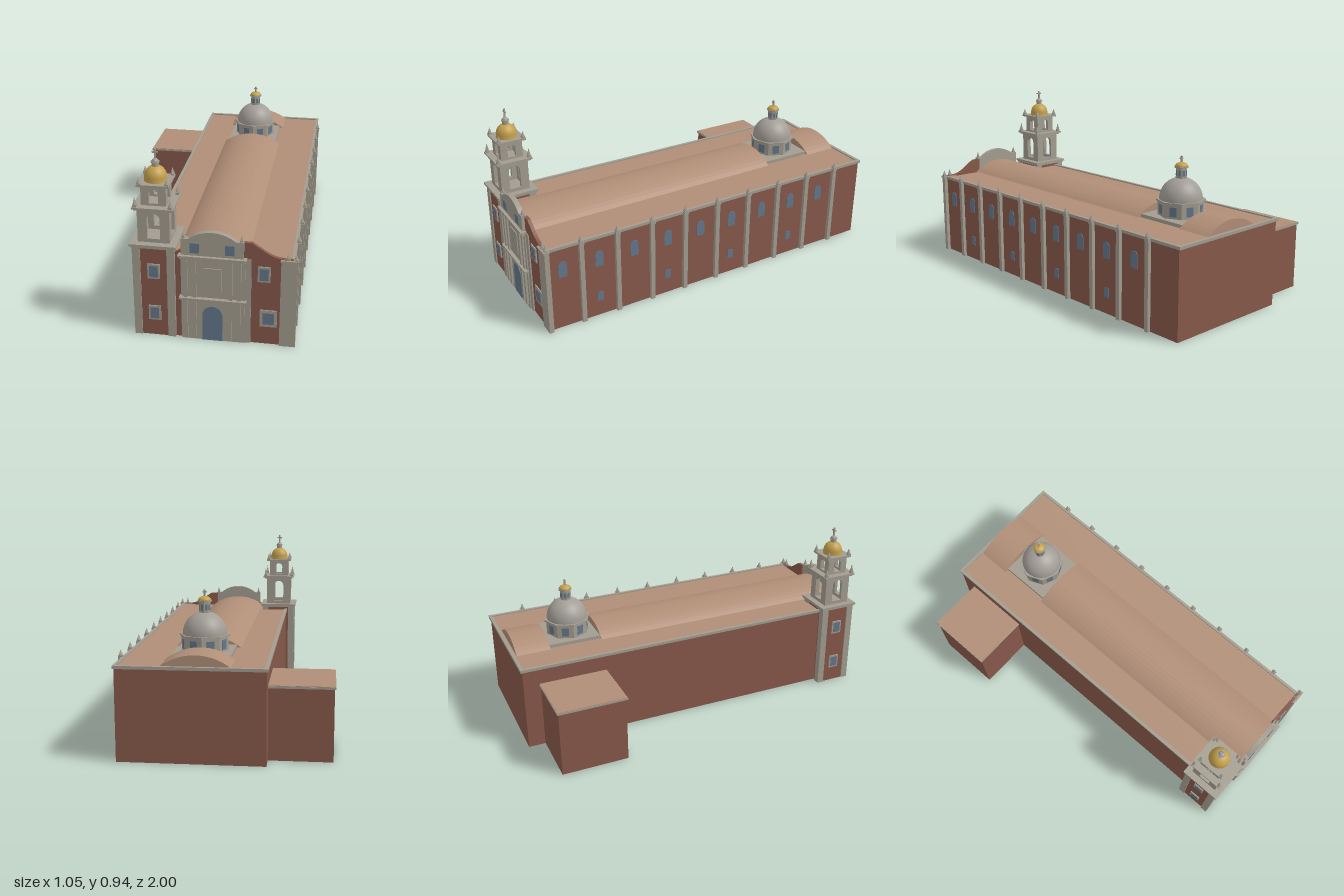
import * as THREE from 'three';

const mat = (name, color, side = THREE.FrontSide) => {
  const m = new THREE.MeshStandardMaterial({ color, side });
  m.name = name;
  return m;
};

export function createModel() {
  const stone = mat('stone', 0xa39d90);
  const brick = mat('brick', 0x87584a);
  const roofTile = mat('roofTile', 0xb08e77);
  const glass = mat('glass', 0x64778c);
  const gold = mat('gold', 0xc4a04c);
  const domeGrey = mat('domeGrey', 0xa39e97);
  const root = new THREE.Group();

  const group = (name, x = 0, y = 0, z = 0, parent = root) => {
    const g = new THREE.Group();
    g.name = name;
    g.position.set(x, y, z);
    parent.add(g);
    return g;
  };
  const add = (parent, name, geo, m) => {
    const mesh = new THREE.Mesh(geo, m);
    mesh.name = name;
    parent.add(mesh);
    return mesh;
  };
  // Box given by its limits
  const box = (parent, name, m, x0, x1, y0, y1, z0, z1) => {
    const b = add(parent, name, new THREE.BoxGeometry(x1 - x0, y1 - y0, z1 - z0), m);
    b.position.set((x0 + x1) / 2, (y0 + y1) / 2, (z0 + z1) / 2);
    return b;
  };
  // Square slab centred on its group
  const slab = (parent, name, m, half, y0, y1) => box(parent, name, m, -half, half, y0, y1, -half, half);
  const cyl = (parent, name, m, r0, r1, y0, y1, sides = 24) => {
    const c = add(parent, name, new THREE.CylinderGeometry(r1, r0, y1 - y0, sides), m);
    c.position.y = (y0 + y1) / 2;
    return c;
  };
  const dome = (parent, name, m, r, y, h) => {
    const d = add(parent, name, new THREE.SphereGeometry(r, 32, 12, 0, Math.PI * 2, 0, Math.PI / 2), m);
    d.position.y = y;
    d.scale.y = h / r;
    return d;
  };
  // Arched outline centred on x = 0
  const arch = (w, y0, y1, rise = w / 2, C = THREE.Shape) => {
    const s = new C();
    s.moveTo(-w / 2, y0);
    s.lineTo(w / 2, y0);
    s.lineTo(w / 2, y1 - rise);
    s.absellipse(0, y1 - rise, w / 2, rise, 0, Math.PI, false);
    s.closePath();
    return s;
  };
  const extrude = (shape, depth) => new THREE.ExtrudeGeometry(shape, { depth, bevelEnabled: false, curveSegments: 12 });
  const pinnacle = (parent, x, y, z, h, w = 0.018) => {
    const p = group('pinnacle', x, y, z, parent);
    slab(p, 'pinnacleBase', stone, w / 2, 0, h * 0.2);
    const c = cyl(p, 'pinnacleSpire', stone, w * 0.6, 0, h * 0.2, h, 4);
    c.rotation.y = Math.PI / 4;
  };
  const cross = (parent, y, h, m = stone) => {
    const c = group('cross', 0, y, 0, parent);
    box(c, 'crossPost', m, -0.004, 0.004, 0, h, -0.004, 0.004);
    box(c, 'crossArm', m, -h * 0.3, h * 0.3, h * 0.6, h * 0.75, -0.004, 0.004);
  };
  const framedWindow = (parent, x0, x1, y0, y1, z, b = 0.012) => {
    box(parent, 'windowFrame', stone, x0, x1, y0, y1, z - 0.002, z + 0.006);
    box(parent, 'windowGlass', glass, x0 + b, x1 - b, y0 + b, y1 - b, z + 0.006, z + 0.008);
  };

  // Nave walls, open underneath
  const nave = group('nave');
  box(nave, 'leftWall', brick, -0.21, -0.2, 0, 0.45, -0.99, 0.78);
  box(nave, 'rightWall', brick, 0.49, 0.5, 0, 0.45, -0.99, 0.965);
  box(nave, 'backWall', brick, -0.21, 0.5, 0, 0.45, -0.99, -0.98);
  box(nave, 'frontWallRight', brick, 0.3, 0.46, 0, 0.45, 0.955, 0.965);
  box(nave, 'frontWallLeft', brick, -0.06, -0.03, 0, 0.46, 0.955, 0.965);
  box(nave, 'roof', roofTile, -0.205, 0.495, 0.445, 0.458, -0.985, 0.96);
  box(nave, 'leftCornice', stone, -0.217, -0.2, 0.45, 0.465, -1, 0.78);
  box(nave, 'rightCornice', stone, 0.49, 0.506, 0.45, 0.465, -1, 0.965);
  box(nave, 'backCornice', stone, -0.217, 0.506, 0.45, 0.465, -1, -0.982);

  // Shallow barrel vaults before and behind the crossing
  const vaultShape = new THREE.Shape();
  const vr = 0.275, va = Math.asin(0.166 / vr);
  for (let i = 0; i <= 14; i++) {
    const a = va - (2 * va * i) / 14;
    vaultShape[i ? 'lineTo' : 'moveTo'](vr * Math.sin(a), vr * (Math.cos(a) - 1) + 0.517);
  }
  for (const [z0, z1] of [[-0.505, 0.955], [-0.975, -0.79]])
    add(nave, 'vault', extrude(vaultShape, z1 - z0), roofTile).position.set(0.122, 0, z0);

  // Buttresses and arched windows of the right wall
  for (let i = 0; i < 9; i++) {
    const z = 0.78 - i * 0.1975;
    box(nave, 'buttress', stone, 0.495, 0.518, 0, 0.455, z - 0.012, z + 0.012);
    box(nave, 'buttressCap', stone, 0.495, 0.522, 0.45, 0.465, z - 0.014, z + 0.014);
    pinnacle(nave, 0.511, 0.465, z, 0.038, 0.02);
    const sideWindow = (w, y0, y1, rise) => {
      const p = add(nave, 'sideWindow', extrude(arch(w, y0, y1, rise), 0.004), glass);
      p.rotation.y = Math.PI / 2;
      p.position.set(0.499, 0, z + 0.099);
    };
    sideWindow(0.046, 0.29, 0.377, 0.02);
    if (i % 2) sideWindow(0.034, 0.087, 0.14, 0.008);
  }

  // Low annex
  const annex = group('annex');
  box(annex, 'annexLeftWall', brick, -0.52, -0.51, 0, 0.355, -0.9, -0.545);
  box(annex, 'annexBackWall', brick, -0.52, -0.21, 0, 0.355, -0.9, -0.89);
  box(annex, 'annexFrontWall', brick, -0.52, -0.21, 0, 0.355, -0.555, -0.545);
  box(annex, 'annexCornice', stone, -0.527, -0.21, 0.353, 0.363, -0.907, -0.538);
  box(annex, 'annexRoof', roofTile, -0.524, -0.21, 0.363, 0.366, -0.904, -0.541);

  // Bell tower: brick faces with stone corners
  const tower = group('bellTower', -0.16, 0, 0.876);
  for (let i = 0; i < 4; i++) {
    const side = group('towerSide', 0, 0, 0, tower);
    side.rotation.y = (i * Math.PI) / 2;
    box(side, 'towerWall', brick, -0.095, 0.095, 0, 0.48, 0.086, 0.096);
    box(side, 'towerCorner', stone, 0.064, 0.102, 0, 0.48, 0.064, 0.102);
    if (i === 0 || i === 3) {
      framedWindow(side, -0.03, 0.03, 0.315, 0.393, 0.096, 0.009);
      framedWindow(side, -0.03, 0.03, 0.087, 0.165, 0.096, 0.009);
    }
  }
  slab(tower, 'towerCorniceLower', stone, 0.106, 0.476, 0.484);
  slab(tower, 'towerCornice', stone, 0.112, 0.484, 0.496);
  const belfry = (half, y0, y1, w, a0, a1) => {
    for (let i = 0; i < 4; i++) {
      const s = new THREE.Shape();
      s.moveTo(-half, y0).lineTo(half, y0).lineTo(half, y1).lineTo(-half, y1).closePath();
      s.holes.push(arch(w, a0, a1, w / 2, THREE.Path));
      const geo = extrude(s, 0.018).translate(0, 0, half - 0.018);
      add(tower, 'belfryWall', geo, stone).rotation.y = (i * Math.PI) / 2;
    }
  };
  const corners = (d, y, h) => {
    for (const sx of [-1, 1]) for (const sz of [-1, 1]) pinnacle(tower, sx * d, y, sz * d, h);
  };
  belfry(0.077, 0.496, 0.665, 0.062, 0.515, 0.645);
  slab(tower, 'belfryCornice', stone, 0.09, 0.662, 0.67);
  slab(tower, 'belfryCorniceTop', stone, 0.098, 0.67, 0.679);
  corners(0.084, 0.679, 0.053);
  belfry(0.06, 0.679, 0.776, 0.044, 0.69, 0.76);
  slab(tower, 'upperCornice', stone, 0.077, 0.776, 0.787);
  corners(0.066, 0.787, 0.039);
  cyl(tower, 'towerDomeBase', gold, 0.055, 0.053, 0.787, 0.803);
  dome(tower, 'towerDome', gold, 0.053, 0.803, 0.056);
  cyl(tower, 'towerLantern', stone, 0.017, 0.017, 0.852, 0.874, 12);
  cyl(tower, 'towerLanternRing', stone, 0.021, 0.021, 0.874, 0.879, 12);
  dome(tower, 'towerLanternCap', domeGrey, 0.016, 0.879, 0.014);
  cross(tower, 0.89, 0.05);

  // Portal with two tiers of pilasters
  const portal = group('portal');
  box(portal, 'portalWall', stone, -0.03, 0.305, 0, 0.455, 0.952, 0.972);
  box(portal, 'portalFront', stone, -0.025, 0.277, 0, 0.45, 0.97, 0.977);
  for (const x of [-0.006, 0.036, 0.208, 0.25]) {
    box(portal, 'lowerPilaster', stone, x - 0.009, x + 0.009, 0.018, 0.222, 0.975, 0.988);
    box(portal, 'upperPilaster', stone, x - 0.009, x + 0.009, 0.235, 0.44, 0.975, 0.986);
  }
  box(portal, 'middleCornice', stone, -0.031, 0.278, 0.22, 0.227, 0.965, 0.992);
  box(portal, 'middleCorniceTop', stone, -0.037, 0.285, 0.227, 0.235, 0.965, 0.997);
  box(portal, 'upperCornice', stone, -0.033, 0.278, 0.44, 0.453, 0.955, 0.99);
  box(portal, 'upperCorniceTop', stone, -0.04, 0.285, 0.453, 0.461, 0.95, 1);
  box(portal, 'reliefPanel', stone, 0.079, 0.165, 0.27, 0.395, 0.975, 0.982);
  add(portal, 'door', extrude(arch(0.096, 0, 0.188), 0.005), glass).position.set(0.122, 0, 0.975);

  // Curved pediment
  const ped = new THREE.Shape();
  ped.moveTo(-0.025, 0.46).lineTo(0.27, 0.46).lineTo(0.27, 0.545).lineTo(0.235, 0.545);
  ped.quadraticCurveTo(0.185, 0.585, 0.1225, 0.585);
  ped.quadraticCurveTo(0.06, 0.585, 0.01, 0.545);
  ped.lineTo(-0.025, 0.545).closePath();
  add(portal, 'pediment', extrude(ped, 0.026), stone).position.z = 0.958;
  for (const s of [-1, 1]) {
    const x = 0.1225 + s * 0.0825;
    box(portal, 'pedimentWindow', glass, x - 0.022, x + 0.022, 0.475, 0.525, 0.983, 0.987);
    pinnacle(portal, 0.1225 + s * 0.136, 0.545, 0.971, 0.037, 0.015);
  }

  // Sweeping parapets beside the pediment
  const sweep = new THREE.Shape();
  sweep.moveTo(0.265, 0.45).lineTo(0.5, 0.45).lineTo(0.5, 0.466).lineTo(0.44, 0.468);
  sweep.quadraticCurveTo(0.4, 0.474, 0.355, 0.507);
  sweep.lineTo(0.307, 0.539).lineTo(0.265, 0.539).closePath();
  add(nave, 'rightParapet', extrude(sweep, 0.018), brick).position.z = 0.95;
  const ramp = new THREE.Shape();
  ramp.moveTo(-0.06, 0.45).lineTo(-0.02, 0.45).lineTo(-0.02, 0.482).lineTo(-0.06, 0.46).closePath();
  add(nave, 'leftParapet', extrude(ramp, 0.014), brick).position.z = 0.952;

  // Front right corner pier and windows
  box(nave, 'cornerPier', stone, 0.443, 0.52, 0, 0.455, 0.95, 0.975);
  box(nave, 'cornerPierCap', stone, 0.44, 0.524, 0.455, 0.465, 0.948, 0.98);
  pinnacle(nave, 0.474, 0.465, 0.964, 0.04);
  pinnacle(nave, 0.511, 0.465, 0.964, 0.035);
  framedWindow(nave, 0.335, 0.395, 0.34, 0.42, 0.965, 0.009);
  framedWindow(nave, 0.348, 0.43, 0.098, 0.188, 0.965, 0.014);

  // Crossing dome on an eight-sided drum
  const crossing = group('crossingDome', 0.122, 0, -0.645);
  slab(crossing, 'crossingBase', stone, 0.144, 0.45, 0.476);
  const octagon = (name, r, y0, y1) => {
    const c = cyl(crossing, name, stone, r, r, y0, y1, 8);
    c.geometry = c.geometry.toNonIndexed();
    c.geometry.computeVertexNormals();
  };
  const windows = (apothem, w, y0, y1) => {
    for (let i = 0; i < 8; i++) {
      const g = group('drumWindow', 0, 0, 0, crossing);
      g.rotation.y = ((i + 0.5) * Math.PI) / 4;
      box(g, 'drumGlass', glass, -w / 2, w / 2, y0, y1, apothem - 0.002, apothem + 0.002);
    }
  };
  octagon('drum', 0.117, 0.476, 0.55);
  windows(0.1081, 0.038, 0.487, 0.536);
  octagon('drumCornice', 0.126, 0.548, 0.558);
  dome(crossing, 'mainDome', domeGrey, 0.11, 0.558, 0.11);
  octagon('lantern', 0.028, 0.655, 0.72);
  windows(0.0259, 0.012, 0.677, 0.705);
  cyl(crossing, 'lanternCornice', stone, 0.035, 0.035, 0.718, 0.725);
  dome(crossing, 'lanternDome', gold, 0.032, 0.725, 0.02);
  cross(crossing, 0.742, 0.034);

  return root;
}
